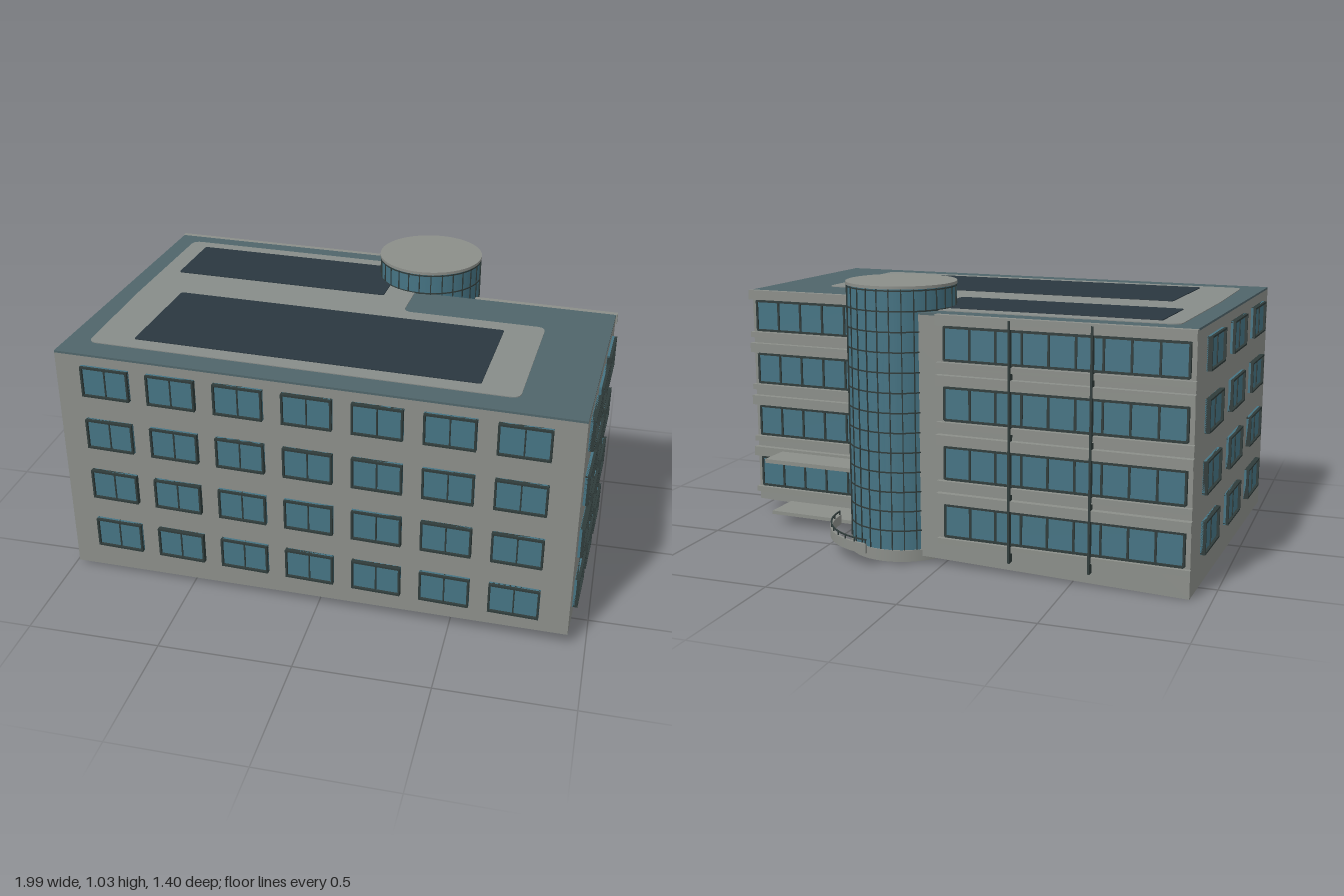
import * as THREE from 'three';

const mat = (name, color) => {
  const m = new THREE.MeshStandardMaterial({ color });
  m.name = name;
  return m;
};

export function createModel() {
  const wall = mat('wall grey', 0x8b8e89);
  const roofTeal = mat('roof teal', 0x50656a);
  const path = mat('roof path grey', 0x878c89);
  const slate = mat('roof slate', 0x2a373f);
  const glass = mat('glass blue', 0x457383);
  const frame = mat('frame dark', 0x2f3b3a);

  const model = new THREE.Group();
  const building = new THREE.Group();
  building.name = 'building';
  building.rotation.y = -0.0505;
  model.add(building);

  const add = (name, geo, material, parent = building) => {
    const m = new THREE.Mesh(geo, material);
    m.name = name;
    parent.add(m);
    return m;
  };
  // box given by its limits
  const box = (name, x0, x1, y0, y1, z0, z1, material, parent) => {
    const g = new THREE.BoxGeometry(x1 - x0, y1 - y0, z1 - z0);
    g.translate((x0 + x1) / 2, (y0 + y1) / 2, (z0 + z1) / 2);
    return add(name, g, material, parent);
  };
  // outline in plan (x, z) with optional rounded corners, raised from y0 to y1
  const slab = (pts, y0, y1, r = 0) => {
    const p = pts.map(([x, z]) => new THREE.Vector2(x, -z));
    const s = new THREE.Shape();
    p.forEach((c, i) => {
      const prev = p[(i + p.length - 1) % p.length], next = p[(i + 1) % p.length];
      const a = c.clone().add(prev.clone().sub(c).setLength(r));
      const b = c.clone().add(next.clone().sub(c).setLength(r));
      if (i) s.lineTo(a.x, a.y); else s.moveTo(a.x, a.y);
      if (r) s.quadraticCurveTo(c.x, c.y, b.x, b.y);
    });
    s.closePath();
    const g = new THREE.ExtrudeGeometry(s, { depth: y1 - y0, bevelEnabled: false, curveSegments: 6 });
    return g.rotateX(-Math.PI / 2).translate(0, y0, 0);
  };

  // Main block: stepped plan on a sloping base
  const L = -0.954, R = 0.967, F = 0.632, B1 = -0.58, B2 = -0.24;
  const plan = [[L, F], [R, F], [R, B2], [0.2, B2], [0.2, B1], [L, B1]];
  const body = slab(plan, 0, 0.924);
  const pos = body.attributes.position;
  for (let i = 0; i < pos.count; i++) {
    if (pos.getY(i) < 0.01) pos.setY(i, 0.0295 + 0.025 * pos.getX(i) + 0.01 * pos.getZ(i));
  }
  body.computeVertexNormals();
  add('walls', body, wall);

  // Roof surface, walkway and slate fields
  add('roof', slab(plan, 0.924, 0.932), roofTeal);
  add('roofPath', slab([[-0.865, 0.536], [0.727, 0.536], [0.727, -0.044], [0.177, -0.044],
    [0.177, -0.515], [-0.88, -0.515], [-0.88, 0.08]], 0.932, 0.935, 0.035), path);
  add('roofFieldBack', slab([[-0.803, -0.169], [0.066, -0.169], [0.066, -0.458], [-0.803, -0.458]], 0.935, 0.938, 0.01), slate);
  add('roofFieldFront', slab([[-0.711, 0.472], [0.582, 0.472], [0.582, 0.027], [-0.711, 0.027]], 0.935, 0.938, 0.01), slate);

  // Framed two-pane windows, facing local +z
  const rows = [0.176, 0.393, 0.611, 0.828];
  const addWindow = (x, y, z, turn, w) => {
    const g = new THREE.Group();
    g.name = 'window';
    g.position.set(x, y, z);
    g.rotation.y = turn;
    building.add(g);
    const a = w / 2, h = 0.06, t = 0.007, d = 0.019;
    box('windowGlass', -a, a, -h, h, 0, 0.009, glass, g);
    for (const s of [-1, 1]) {
      box('frameSide', s * (a - t / 2) - t / 2, s * (a - t / 2) + t / 2, -h, h, 0, d, frame, g);
      box('frameRail', -a, a, s * (h - t / 2) - t / 2, s * (h - t / 2) + t / 2, 0, d, frame, g);
    }
    box('mullion', -0.0025, 0.0025, -h, h, 0, 0.013, frame, g);
  };
  for (const y of rows) {
    for (let i = 0; i < 7; i++) addWindow(-0.758 + i * 0.2543, y, F, 0, 0.184);
    for (const z of [0.445, 0.2, -0.047]) addWindow(R, y, z, Math.PI / 2, 0.188);
    for (const z of [0.41, 0.04, -0.33]) addWindow(L, y, z, -Math.PI / 2, 0.22);
  }

  // Rear ribbon windows with projecting ledges
  const ribbon = (x0, x1, z, panes) => {
    for (const y of rows) {
      const g0 = x0 + 0.025, g1 = x1 - 0.03;
      box('ribbonGlass', g0, g1, y - 0.06, y + 0.06, z - 0.008, z, glass);
      for (const s of [-1, 1]) box('ribbonRail', g0, g1, y + s * 0.059 - 0.004, y + s * 0.059 + 0.004, z - 0.015, z, frame);
      for (let i = 0; i <= panes; i++) {
        const x = g0 + (g1 - g0) * i / panes;
        box('ribbonMullion', x - 0.004, x + 0.004, y - 0.06, y + 0.06, z - 0.013, z, frame);
      }
      box('ledge', x0, x1, y + 0.066, y + 0.104, z - 0.023, z, wall);
      box('sill', x0, x1, y - 0.09, y - 0.068, z - 0.016, z, wall);
    }
  };
  ribbon(L - 0.004, -0.017, B1, 9);
  ribbon(0.417, R + 0.006, B2, 5);
  for (const x of [-0.3, -0.6]) box('drainPipe', x - 0.004, x + 0.004, 0.05, 0.924, B1 - 0.027, B1, frame);

  // Entrance canopy and landing
  box('canopy', 0.365, 0.84, 0.254, 0.27, -0.393, B2, wall);
  box('landing', 0.365, 0.82, 0.04, 0.054, -0.385, B2, wall);

  // Round glazed stair tower
  const tower = new THREE.Group();
  tower.name = 'tower';
  tower.position.set(0.195, 0, -0.433);
  building.add(tower);
  const drum = (name, r, y0, y1, material) =>
    add(name, new THREE.CylinderGeometry(r, r, y1 - y0, 48).translate(0, (y0 + y1) / 2, 0), material, tower);
  drum('towerBase', 0.206, 0.006, 0.05, wall);
  drum('towerGlass', 0.202, 0.05, 1.015, glass);
  drum('towerCap', 0.206, 1.015, 1.026, wall);
  for (let i = 1; i <= 13; i++) {
    const y = 0.05 + i * 0.0738;
    drum('towerRing', 0.2045, y - 0.0025, y + 0.0025, frame);
  }
  for (let i = 0; i < 28; i++) {
    const m = box('towerMullion', -0.002, 0.002, 0.05, 1.015, 0.199, 0.205, frame, tower);
    m.rotation.y = i * Math.PI / 14;
  }

  // Curved parapet and handrail around the tower
  const a0 = 0.02, a1 = 1.5;
  const arc = (name, r0, r1, y0, y1, material) => {
    const s = new THREE.Shape();
    s.absarc(0, 0, r1, a0, a1, false);
    s.absarc(0, 0, r0, a1, a0, true);
    const g = new THREE.ExtrudeGeometry(s, { depth: y1 - y0, bevelEnabled: false, curveSegments: 20 });
    add(name, g.rotateX(-Math.PI / 2).translate(0, y0, 0), material, tower);
  };
  arc('parapet', 0.276, 0.285, 0.055, 0.092, wall);
  arc('handrail', 0.278, 0.283, 0.104, 0.109, frame);
  for (let i = 0; i <= 8; i++) {
    const m = box('railPost', 0.2785, 0.2825, 0.09, 0.106, -0.002, 0.002, frame, tower);
    m.rotation.y = a0 + 0.01 + (a1 - a0 - 0.02) * i / 8;
  }
  return model;
}
